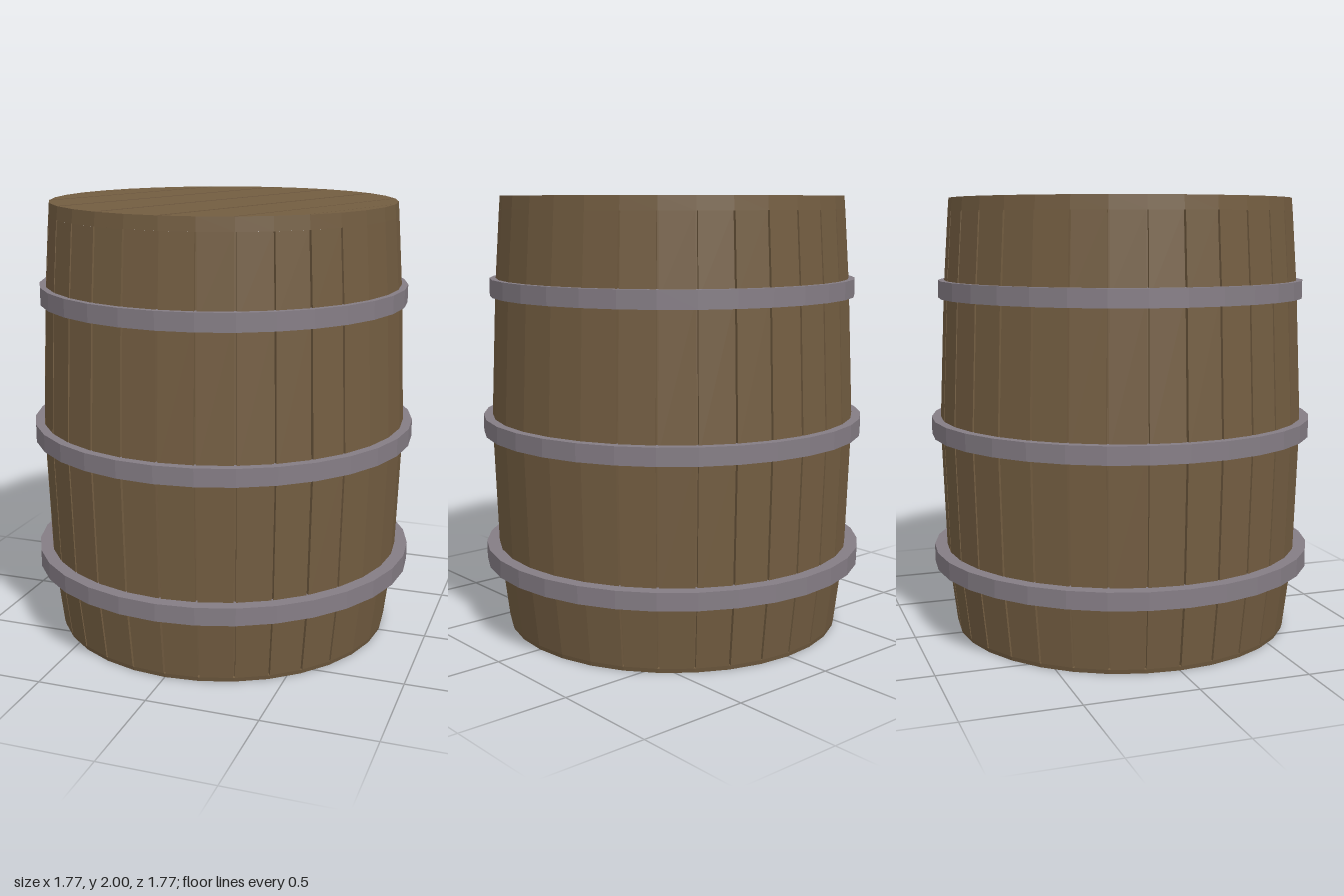
import * as THREE from 'three';

const SIDES = 32;
const wood = new THREE.MeshStandardMaterial({ color: 0x735d41, flatShading: true });
const iron = new THREE.MeshStandardMaterial({ color: 0x857d85, flatShading: true });
const dark = new THREE.MeshStandardMaterial({ color: 0x15120f, flatShading: true });

function add(group, name, geometry, material) {
  const mesh = new THREE.Mesh(geometry, material);
  mesh.name = name;
  group.add(mesh);
  return mesh;
}

const lathe = (points) =>
  new THREE.LatheGeometry(points.map(([r, y]) => new THREE.Vector2(r, y)), SIDES);

// Bulging wall of staves, with a narrow groove at each joint except on the plain +x side
function staveGeometry(profile) {
  const section = []; // [angle, inset]
  for (let i = 0; i < SIDES; i++) {
    const a = (i / SIDES) * Math.PI * 2;
    const plain = Math.min(i, SIDES - i) <= 2;
    if (plain) section.push([a, 0]);
    else section.push([a - 0.006, 0], [a - 0.005, 0.02], [a + 0.005, 0.02], [a + 0.006, 0]);
  }
  const n = section.length;
  const positions = [];
  for (const [r, y] of profile)
    for (const [a, inset] of section)
      positions.push((r - inset) * Math.cos(a), y, (r - inset) * Math.sin(a));
  const index = [];
  for (let j = 0; j < profile.length - 1; j++)
    for (let i = 0; i < n; i++) {
      const a = j * n + i, b = j * n + ((i + 1) % n);
      index.push(a, a + n, b, b, a + n, b + n);
    }
  const g = new THREE.BufferGeometry();
  g.setAttribute('position', new THREE.Float32BufferAttribute(positions, 3));
  g.setIndex(index);
  g.computeVertexNormals();
  return g;
}

// Keeps the part of a polygon where sign * (x - limit) >= 0
function clip(points, limit, sign) {
  const out = [];
  points.forEach((p, i) => {
    const q = points[(i + 1) % points.length];
    const dp = sign * (p.x - limit), dq = sign * (q.x - limit);
    if (dp >= 0) out.push(p);
    if (dp * dq < 0) out.push(p.clone().lerp(q, dp / (dp - dq)));
  });
  return out;
}

// One lid board: the slice of the lid's outline between two parallel cuts
function boardGeometry(from, to, radius, bottom, top) {
  let outline = [];
  for (let i = 0; i < SIDES; i++) {
    const a = (i / SIDES) * Math.PI * 2;
    outline.push(new THREE.Vector2(radius * Math.cos(a), radius * Math.sin(a)));
  }
  outline = clip(clip(outline, from, 1), to, -1);
  const g = new THREE.ExtrudeGeometry(new THREE.Shape(outline), {
    depth: top - bottom, bevelEnabled: false,
  });
  return g.rotateX(-Math.PI / 2).translate(0, bottom, 0);
}

export function createModel() {
  const barrel = new THREE.Group();
  barrel.name = 'barrel';

  // Body
  add(barrel, 'staves', staveGeometry([
    [0.785, 0.02], [0.825, 0.35], [0.845, 0.96], [0.817, 1.59], [0.792, 1.94],
  ]), wood);
  add(barrel, 'base', new THREE.CylinderGeometry(0.785, 0.78, 0.02, SIDES), wood)
    .position.y = 0.01;
  add(barrel, 'rim', lathe([
    [0.76, 1.94], [0.792, 1.94], [0.787, 2], [0.78, 2], [0.78, 1.95],
  ]), wood);

  // Iron hoops: [bottom, inner radius, outer radius]
  for (const [y, inner, outer] of [[0.31, 0.81, 0.885], [0.92, 0.83, 0.885], [1.55, 0.8, 0.843]])
    add(barrel, 'hoop', lathe([
      [inner, y], [outer, y], [outer, y + 0.08], [inner, y + 0.08], [inner, y],
    ]), iron);

  // Lid: boards laid at a slant over a dark backing
  const lid = new THREE.Group();
  lid.name = 'lid';
  lid.rotation.y = -Math.PI / 8;
  barrel.add(lid);
  add(lid, 'lidBacking', new THREE.CylinderGeometry(0.785, 0.785, 0.02, SIDES), dark)
    .position.y = 1.965;
  // [position, gap width]
  const cuts = [[-1, 0], [-0.72, 0.008], [-0.553, 0.018], [-0.299, 0.02], [0, 0.02],
    [0.299, 0.02], [0.553, 0.012], [0.72, 0.004], [1, 0]];
  for (let i = 0; i < cuts.length - 1; i++) {
    const from = cuts[i][0] + cuts[i][1] / 2, to = cuts[i + 1][0] - cuts[i + 1][1] / 2;
    add(lid, 'lidBoard', boardGeometry(from, to, 0.78, 1.96, 2), wood);
  }
  // Wooden filler under the tight joints
  add(lid, 'lidFiller', boardGeometry(0.5, 1, 0.779, 1.96, 1.993), wood);

  return barrel;
}
